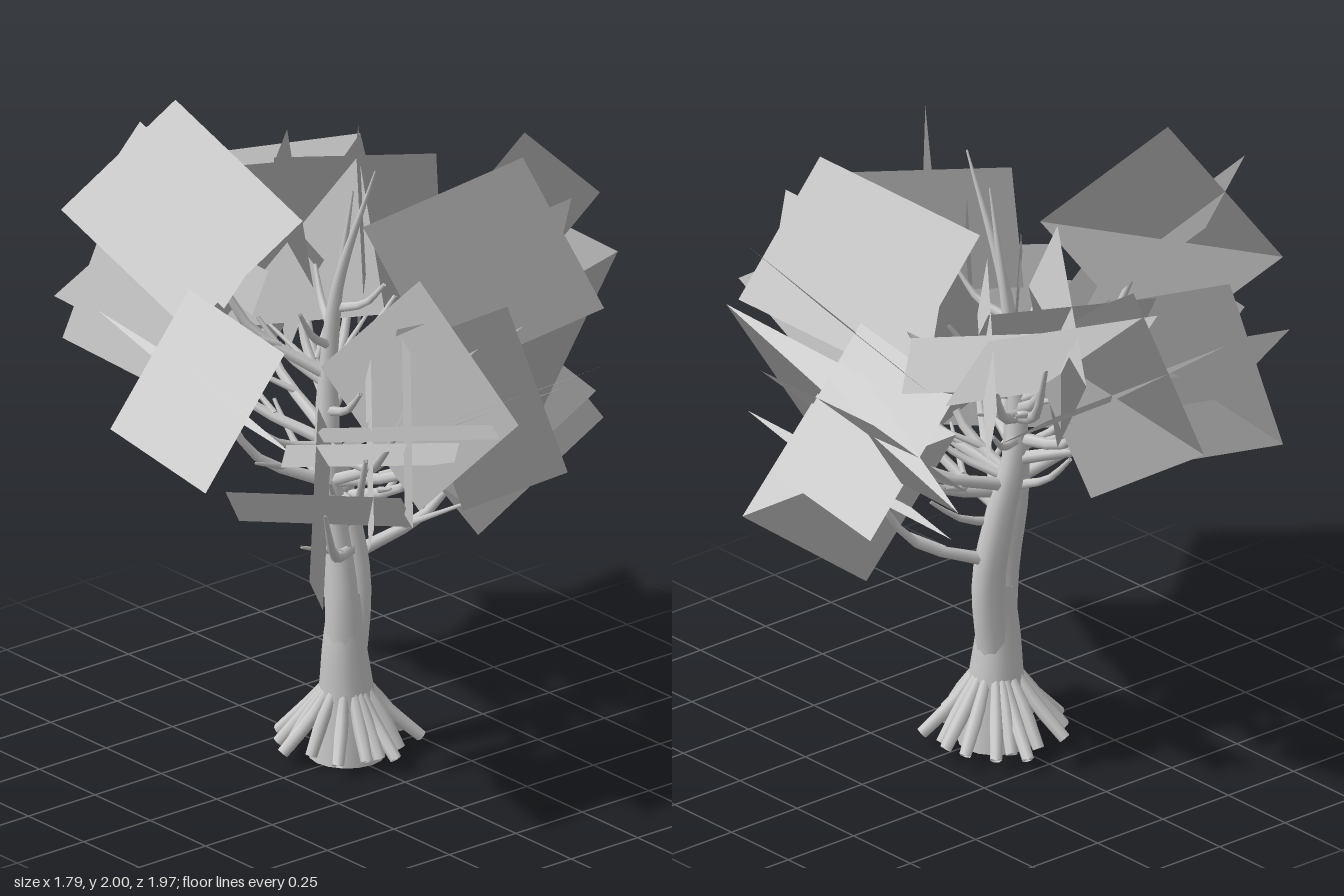
import * as THREE from 'three';

const V = (x, y, z) => new THREE.Vector3(x, y, z);

// Closed tube along points whose radius runs through the given list;
// the first and last rings collapse to cap the ends
function limb(points, radii, segments = 8, sides = 8) {
  const curve = new THREE.CatmullRomCurve3(points);
  const geo = new THREE.TubeGeometry(curve, segments, 1, sides, false);
  const pos = geo.attributes.position;
  const p = V(0, 0, 0);
  for (let i = 0; i <= segments; i++) {
    const t = THREE.MathUtils.clamp((i - 1) / (segments - 2), 0, 1);
    const ringCentre = curve.getPointAt(i / segments);
    const centre = curve.getPointAt(t);
    const f = t * (radii.length - 1);
    const k = Math.min(Math.floor(f), radii.length - 2);
    const isCap = i === 0 || i === segments;
    const r = isCap ? 0 : THREE.MathUtils.lerp(radii[k], radii[k + 1], f - k);
    for (let j = 0; j <= sides; j++) {
      const n = i * (sides + 1) + j;
      p.fromBufferAttribute(pos, n).sub(ringCentre).multiplyScalar(r).add(centre);
      pos.setXYZ(n, p.x, p.y, p.z);
    }
  }
  return geo;
}

// Very thin square leaf plate: two faces turned outwards, shaded along the growing direction
function card(centre, along, across, size) {
  const h = size / 2;
  const facing = across.clone().cross(along).normalize();
  const corners = [1, -1].flatMap((face) =>
    [[-1, -1], [1, -1], [1, 1], [-1, 1]].map(([s, t]) => centre.clone()
      .addScaledVector(across, s * h).addScaledVector(along, t * h).addScaledVector(facing, face * 0.001)));
  const geo = new THREE.BufferGeometry().setFromPoints(corners);
  const normals = corners.flatMap(() => along.toArray());
  geo.setAttribute('normal', new THREE.Float32BufferAttribute(normals, 3));
  geo.setIndex([0, 1, 2, 0, 2, 3, 4, 6, 5, 4, 7, 6]);
  return geo;
}

// Leaf clusters: centre x, y, z, outward direction x, z, tilt in degrees, size, crossed or single
const CLUSTERS = [
  [-0.29, 1.64, -0.41, -0.59, -0.81, 42, 0.51, true],
  [-0.21, 1.285, -0.58, -0.45, -0.89, 19, 0.51, true],
  [0.098, 1.34, -0.64, -0.14, -0.99, 32, 0.51, true],
  [0.215, 1.44, -0.505, 0.36, -0.93, 45, 0.52, false],
  [0.107, 1.45, -0.41, 0.46, -0.89, 45, 0.5, true],
  [0.35, 1.43, -0.38, 0.59, -0.81, 45, 0.47, true],
  [-0.39, 1.2, -0.22, -0.99, -0.14, 45, 0.51, false],
  [-0.39, 0.985, 0.335, -0.7, 0.7, 32, 0.51, true],
  [-0.31, 1.295, 0.635, -0.6, 0.8, 18, 0.51, true],
  [-0.24, 1.13, 0.38, -0.61, 0.79, 30, 0.5, true],
  [0.115, 1.21, 0.475, 0.06, 1, 30, 0.51, true],
  [0.1, 1.125, 0.36, 0.03, 1, 30, 0.48, false],
  [0.03, 1.21, 0.28, 0.22, 0.97, 45, 0.51, true],
  [0.32, 1.515, 0.22, 0.7, 0.7, 27, 0.52, true],
  [0.58, 1.5, 0.015, 0.97, 0.24, 45, 0.5, false],
  [0.575, 1.22, 0, 1, 0.04, 57, 0.64, false],
  [0.54, 1.155, -0.06, 1, 0, 42, 0.5, true],
  [0.48, 0.95, 0.08, 0.97, 0.23, 36, 0.5, true],
];

export function createModel() {
  const group = new THREE.Group();
  const grey = new THREE.MeshStandardMaterial({ color: 0xcccccc });
  grey.name = 'pale grey';
  const add = (parent, name, geo) => {
    const mesh = new THREE.Mesh(geo, grey);
    mesh.name = name;
    parent.add(mesh);
  };
  const part = (name) => {
    const g = new THREE.Group();
    g.name = name;
    group.add(g);
    return g;
  };

  // Trunk and the two stems that twist out of it
  const stems = [
    [V(0, 0.25, -0.02), V(-0.02, 0.55, -0.02), V(-0.02, 0.8, -0.07), V(0, 1.05, -0.1),
      V(0.01, 1.4, -0.08), V(0.03, 1.85, 0.08)],
    [V(0, 0.22, -0.02), V(0.055, 0.52, -0.045), V(0.05, 0.75, -0.09), V(0.02, 1, -0.13),
      V(0.02, 1.3, -0.1), V(0.02, 1.76, -0.01)],
  ];
  add(group, 'trunk', limb(
    [V(0.005, 0, -0.02), V(0.005, 0.18, -0.02), V(-0.002, 0.35, -0.022), V(0.005, 0.5, -0.03)],
    [0.112, 0.085, 0.066, 0.045], 14, 16));
  const stemGroup = part('stems');
  stems.forEach((s) => add(stemGroup, 'stem',
    limb(s, [0.055, 0.05, 0.042, 0.026, 0.014, 0.003], 24, 10)));
  const curves = stems.map((s) => new THREE.CatmullRomCurve3(s));
  const pointAtHeight = (curve, y) => {
    let best = curve.getPoint(0);
    for (let i = 1; i <= 60; i++) {
      const p = curve.getPoint(i / 60);
      if (Math.abs(p.y - y) < Math.abs(best.y - y)) best = p;
    }
    return best;
  };

  // Roots splayed around the foot
  const roots = part('roots');
  for (let i = 0; i < 18; i++) {
    const a = (i / 18) * Math.PI * 2 + 0.15 * Math.sin(i * 5);
    const r = 0.195 + 0.025 * Math.sin(i * 3.7);
    const c = Math.cos(a), s = Math.sin(a);
    add(roots, 'root', limb([V(0.005 + c * 0.06, 0.22, -0.02 + s * 0.06),
      V(0.012 + c * 0.115, 0.14, -0.03 + s * 0.115),
      V(0.02 + c * r, 0.04, -0.04 + s * r)], [0.014, 0.021, 0.018], 7, 7));
  }

  // Branches with side twigs, each carrying leaf cards
  const branches = part('branches');
  const foliage = part('foliage');
  CLUSTERS.forEach(([x, y, z, dx, dz, tilt, size, crossed], i) => {
    const c = V(x, y, z);
    const t = THREE.MathUtils.degToRad(tilt);
    const out = V(dx, 0, dz).normalize();
    const along = out.clone().multiplyScalar(Math.cos(t)).setY(Math.sin(t));
    const across = V(-out.z, 0, out.x);
    const upward = along.clone().cross(across).normalize();
    add(foliage, 'leafCard', card(c, along, across, size));
    if (crossed) add(foliage, 'leafCard', card(c, along, upward, size));

    const start = pointAtHeight(curves[i % 2], THREE.MathUtils.clamp(y - 0.36, 0.6, 1.15));
    const tip = start.clone().lerp(c, 0.85);
    const knee = start.clone().lerp(c, 0.55);
    knee.y = start.y + (y - start.y) * 0.3;
    add(branches, 'branch', limb([start, knee, tip], [0.021, 0.015, 0.007], 8, 6));
    const from = start.clone().lerp(knee, 0.6);
    const end = from.clone().addScaledVector(out, 0.16).addScaledVector(across, i % 2 ? 0.1 : -0.1);
    end.y += 0.08;
    add(branches, 'twig', limb([from, from.clone().lerp(end, 0.5), end], [0.011, 0.008, 0.005], 5, 5));
  });

  // Outermost single card on the right side
  add(foliage, 'leafCard', card(V(-0.565, 1.29, -0.01), V(-0.77, 0.64, 0), V(0.64, 0.77, 0), 0.465));

  // Short upright shoots around the stems
  const shoots = part('shoots');
  for (let i = 0; i < 12; i++) {
    const a = i * 2.4;
    const from = pointAtHeight(curves[i % 2], 0.7 + i * 0.06);
    const reach = 0.3 - i * 0.012;
    const tip = from.clone().add(V(Math.cos(a) * reach, 0.15 + 0.04 * Math.sin(i), Math.sin(a) * reach));
    const mid = from.clone().lerp(tip, 0.6);
    mid.y -= 0.03;
    add(shoots, 'shoot', limb([from, mid, tip], [0.016, 0.012, 0.006], 7, 6));
  }
  return group;
}
